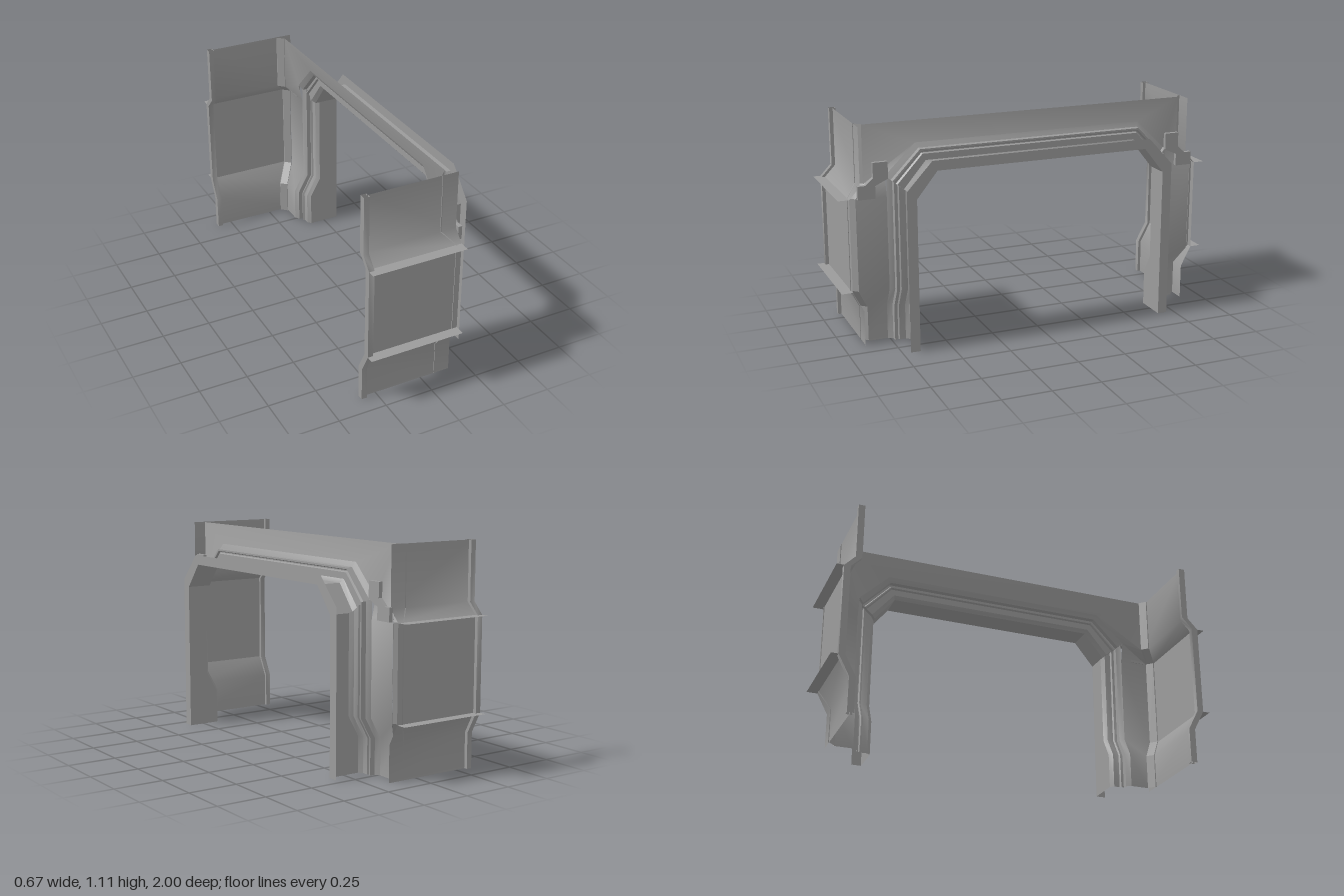
import * as THREE from 'three';
import { toCreasedNormals } from 'three/addons/utils/BufferGeometryUtils.js';

const material = new THREE.MeshStandardMaterial({ color: 0x9b9b9b, side: THREE.DoubleSide });

// Sheet spanned by rows of [x, y, z] points.
function sheet(name, rows, crease = 0.5) {
  const n = rows[0].length, index = [];
  for (let i = 0; i < rows.length - 1; i++) {
    for (let j = 0; j < n - 1; j++) {
      const a = i * n + j, b = a + n;
      index.push(a, b, a + 1, b, b + 1, a + 1);
    }
  }
  const geo = new THREE.BufferGeometry();
  geo.setAttribute('position', new THREE.Float32BufferAttribute(rows.flat(2), 3));
  geo.setIndex(index);
  const mesh = new THREE.Mesh(toCreasedNormals(geo, crease), material);
  mesh.name = name;
  return mesh;
}

// Continue rows of the +z half around the doorway to the -z half.
const mirrorRows = rows => [
  ...rows,
  ...rows.slice().reverse().map(row => row.map(([x, y, z]) => [x, y, -z])),
];

// Height and outward bulge shared by the panels, corners and trims.
const bulge = [[0, 0], [0.18, 0], [0.285, 0.055], [0.757, 0.055], [0.815, 0], [1.109, 0]];

export function createModel() {
  const group = new THREE.Group();

  // Door frame: stepped section swept up one leg, over the lintel and down.
  // Station: z, y, wall x, and the mitre direction (z, y).
  // The legs stand prouder than the lintel and end in a step at the corner.
  const stations = [
    [0.66, 0, 0.11, 1, 0], [0.66, 0.18, 0.11, 1, 0], [0.66, 0.285, 0.168, 1, 0],
    [0.66, 0.775, 0.168, 1, 0.8], [0.66, 0.775, 0.145, 1, 0.8], [0.555, 0.906, 0.145, 0.5, 1],
  ];
  // Section: distance from the opening, height above the wall.
  const section = [[0, 0.057], [0.018, 0.04], [0.05, 0.04], [0.055, 0.03],
    [0.06, 0.03], [0.065, 0.04], [0.074, 0.04], [0.076, 0.015], [0.1, 0]];
  // Front lip and jamb come first, then the stepped section.
  const frame = stations.map(([z, y, w, dz, dy]) => [
    [0.333, y + 0.05 * dy, z + 0.05 * dz],
    [0.333, y, z],
    ...section.map(([o, h]) => [w + h, y + o * dy, z + o * dz]),
  ]);
  group.add(sheet('doorFrame', mirrorRows(frame), 0.6));

  // Wall between the frame and the corners, and above the door.
  const wall = [
    [[0.11, 0, 0.76], [0.11, 0, 0.86]],
    [[0.11, 0.18, 0.76], [0.11, 0.18, 0.86]],
    [[0.168, 0.285, 0.76], [0.165, 0.285, 0.913]],
    [[0.168, 0.757, 0.76], [0.165, 0.757, 0.913]],
    [[0.145, 0.855, 0.76], [0.11, 0.815, 0.86]],
    [[0.145, 1.006, 0.605], [0.11, 1.109, 0.86]],
  ];
  group.add(sheet('frontWall', mirrorRows(wall), 0.9));

  for (const s of [1, -1]) {
    const side = new THREE.Group();
    side.name = s > 0 ? 'frontSide' : 'backSide';
    group.add(side);

    // Side panel in three fields, rounded at its outer bends.
    for (const [from, to] of [[0, 3], [2, 4], [3, 6]]) {
      side.add(sheet('sidePanel', bulge.slice(from, to).map(([y, d]) =>
        [-0.32, 0.16].map(x => [x, y, s * (0.89 + d)])), 1));
    }

    // Chamfered post across the inner corner, showing as a thin seam outside.
    side.add(sheet('cornerPost', bulge.map(([y, d]) =>
      [[0.08, 0.894], [0.075, 0.894], [0.075, 0.885], [0.105, 0.855], [0.11, 0.86]]
        .map(([x, z]) => [x + d, y, s * (z + d)])), 0.6));

    // Square trim along the free edge of the panel.
    side.add(sheet('edgeTrim', bulge.map(([y, d]) =>
      [[-0.333, 0.875], [-0.333, 0.908], [-0.305, 0.908], [-0.305, 0.875], [-0.333, 0.875]]
        .map(([x, z]) => [x, y, s * (z + d)])), 0.8));

    // Thin horizontal ledges outside the panel.
    for (const y of [0.285, 0.757]) {
      side.add(sheet('ledge', [0.945, 1].map(z =>
        [[-0.333, y, s * z], [0.16, y, s * z]])));
    }

    // Bracket plate at the upper corner of the frame.
    const outline = [
      [0.755, 0.85], [0.755, 0.935], [0.83, 0.935], [0.83, 0.86],
      [0.87, 0.825], [0.908, 0.825], [0.908, 0.757], [0.82, 0.757], [0.82, 0.82],
    ].map(([z, y]) => new THREE.Vector2(-s * z, y));
    const bracket = new THREE.Mesh(new THREE.ExtrudeGeometry(
      new THREE.Shape(outline), { depth: 0.02, bevelEnabled: false }), material);
    bracket.rotation.y = Math.PI / 2;
    bracket.position.x = 0.163;
    bracket.name = 'cornerBracket';
    side.add(bracket);
  }
  return group;
}
